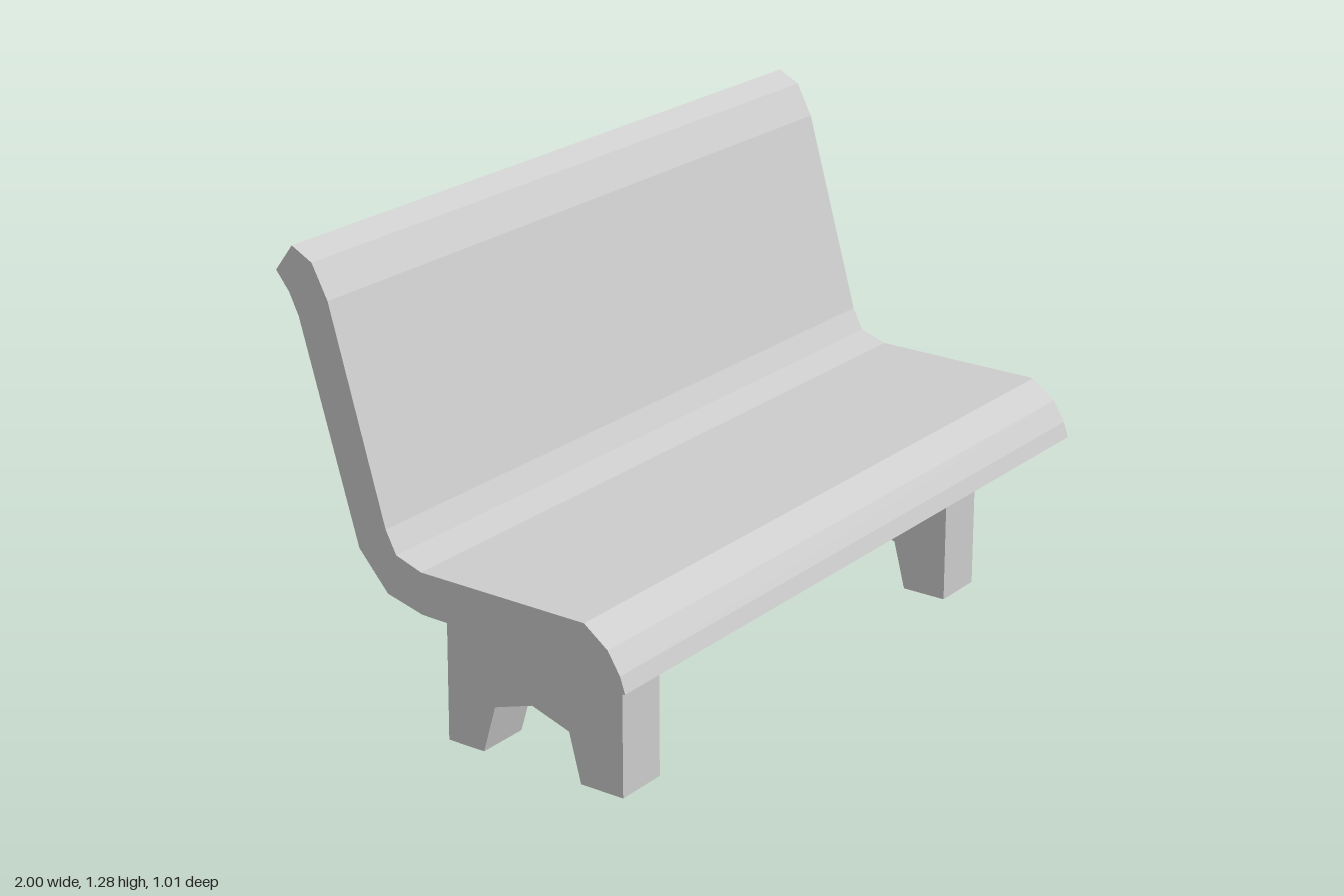
import * as THREE from 'three';

const material = new THREE.MeshStandardMaterial({
  color: 0xcccccc, flatShading: true, side: THREE.DoubleSide,
});

// Extrudes a side profile of [z, y] points along x, centred on x = 0
function extrudeProfile(points, width) {
  const shape = new THREE.Shape(points.map(([z, y]) => new THREE.Vector2(z, y)));
  const geometry = new THREE.ExtrudeGeometry(shape, { depth: width, bevelEnabled: false });
  geometry.translate(0, 0, -width / 2);
  geometry.rotateY(-Math.PI / 2);
  return geometry;
}

// Keeps the leg's walls and arch; leaves the feet and the joint under the seat open
function openEnds(geometry) {
  const pos = geometry.attributes.position;
  const normal = geometry.attributes.normal;
  const kept = [];
  for (let i = 0; i < pos.count; i += 3) {
    const atGround = [0, 1, 2].every((k) => pos.getY(i + k) < 0.01);
    if (atGround || normal.getY(i) > 0.5) continue;
    for (let k = 0; k < 3; k++) kept.push(pos.getX(i + k), pos.getY(i + k), pos.getZ(i + k));
  }
  const open = new THREE.BufferGeometry();
  open.setAttribute('position', new THREE.Float32BufferAttribute(kept, 3));
  open.computeVertexNormals();
  return open;
}

export function createModel() {
  const bench = new THREE.Group();
  bench.name = 'bench';

  // Underside of the seat where the legs meet it, back to front
  const underside = [[-0.194, 0.47], [-0.089, 0.443], [0, 0.441], [0.338, 0.457]];

  // Seat and backrest: one continuous curved slab
  const slab = [
    [0.508, 0.402], [0.494, 0.443], [0.46, 0.498], [0.393, 0.548],       // front lip
    [-0.089, 0.551], [-0.164, 0.576], [-0.194, 0.634],                   // seat top
    [-0.347, 1.169], [-0.392, 1.254], [-0.452, 1.285],                   // backrest front
    [-0.505, 1.216], [-0.467, 1.169], [-0.44, 1.114], [-0.279, 0.566],   // backrest rear
    ...underside,
    [0.375, 0.433], [0.392, 0.412], [0.402, 0.375],                      // under the lip
  ];
  const seat = new THREE.Mesh(extrudeProfile(slab, 2), material);
  seat.name = 'seatAndBackrest';
  bench.add(seat);

  // Two legs, each with an arch cut between its feet
  const legProfile = [
    [0.338, 0], [0.211, 0], [0.177, 0.13], [0.065, 0.167],
    [-0.051, 0.13], [-0.089, 0], [-0.2, 0],
    ...underside,
  ];
  const legGeometry = openEnds(extrudeProfile(legProfile, 0.146));
  for (const [name, x] of [['rightLeg', -0.715], ['leftLeg', 0.726]]) {
    const leg = new THREE.Mesh(legGeometry, material);
    leg.name = name;
    leg.position.x = x;
    bench.add(leg);
  }

  return bench;
}
